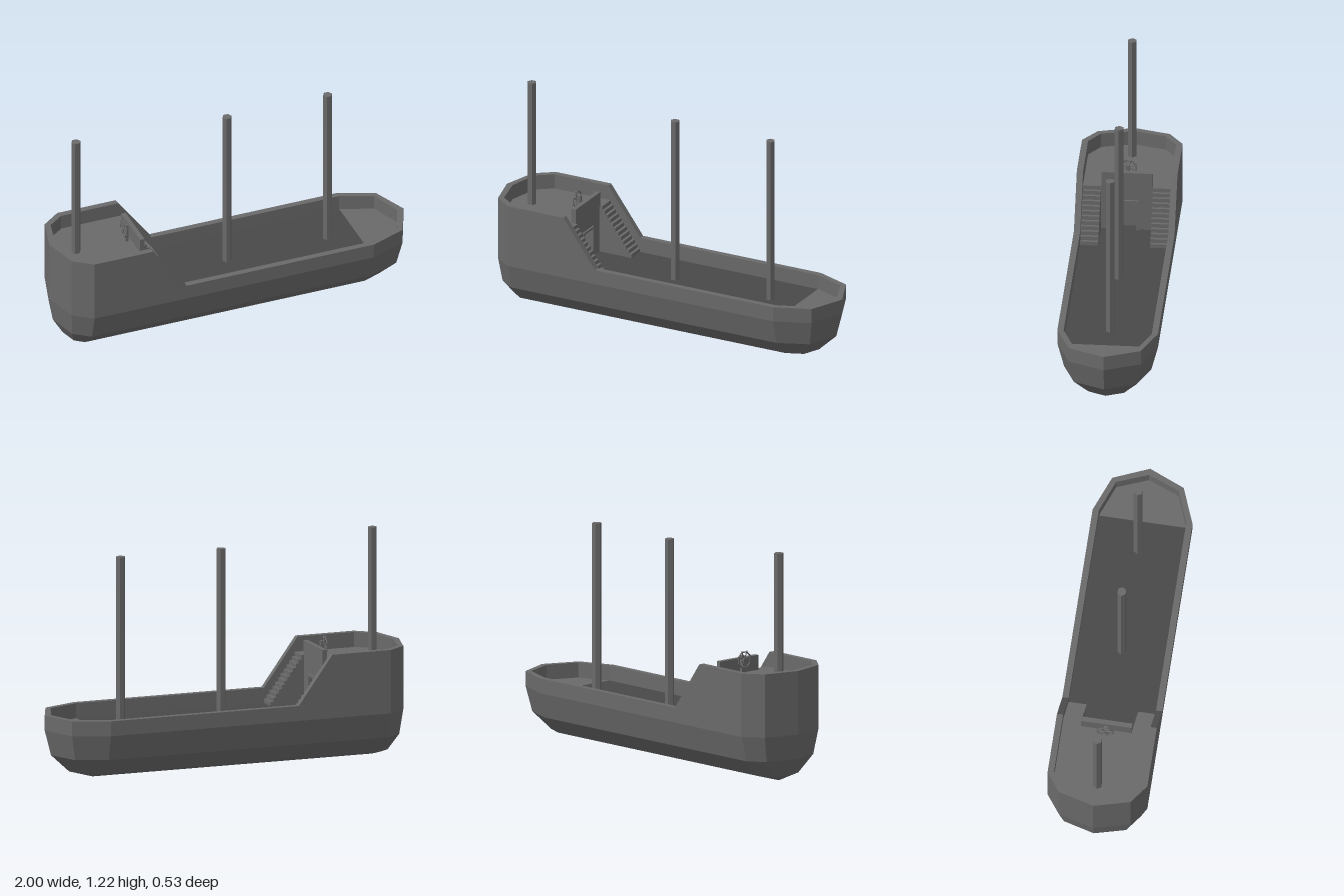
import * as THREE from 'three';

const MAIN_DECK = 0.27, AFT_DECK = 0.53, RAIL = 0.35, AFT_RAIL = 0.61;
const paint = (color) => new THREE.MeshStandardMaterial({ color, flatShading: true, side: THREE.DoubleSide });
const timber = paint(0x6a6a6a), darkTimber = paint(0x484848);

// Half plan outlines, stern to bow: [x, z]
const OUTER = [[-1, 0], [-0.95, 0.19], [-0.85, 0.265], [-0.52, 0.265], [-0.33, 0.265], [0.73, 0.265], [0.92, 0.19], [1, 0]];
const INNER = [[-0.965, 0], [-0.925, 0.17], [-0.84, 0.232], [-0.52, 0.232], [-0.33, 0.232], [0.73, 0.232], [0.9, 0.166], [0.965, 0]];

function closeLoop(half) {
  return [...half, ...half.slice(1, -1).reverse().map(([x, z]) => [x, -z])];
}

function add(parent, geometry, name, x = 0, y = 0, z = 0, material = timber) {
  const mesh = new THREE.Mesh(geometry, material);
  mesh.name = name;
  mesh.position.set(x, y, z);
  parent.add(mesh);
  return mesh;
}

function box(parent, name, x0, x1, y0, y1, z0, z1, material) {
  return add(parent, new THREE.BoxGeometry(x1 - x0, y1 - y0, z1 - z0), name, (x0 + x1) / 2, (y0 + y1) / 2, (z0 + z1) / 2, material);
}

// Joins successive closed loops of points with quads
function skin(rows) {
  const position = [];
  const n = rows[0].length;
  const triangle = (a, b, c) => {
    if (new THREE.Triangle(a, b, c).getArea() > 1e-7) for (const p of [a, b, c]) position.push(p.x, p.y, p.z);
  };
  for (let i = 0; i < rows.length - 1; i++) {
    for (let j = 0; j < n; j++) {
      const k = (j + 1) % n;
      triangle(rows[i][j], rows[i][k], rows[i + 1][k]);
      triangle(rows[i][j], rows[i + 1][k], rows[i + 1][j]);
    }
  }
  const geometry = new THREE.BufferGeometry();
  geometry.setAttribute('position', new THREE.Float32BufferAttribute(position, 3));
  geometry.computeVertexNormals();
  return geometry;
}

// Hull: the outline shrinks towards the keel, rises to the rail, then turns in and down to the deck
function hullGeometry() {
  const outer = closeLoop(OUTER), inner = closeLoop(INNER);
  const railHeight = (x) => (x < -0.5 ? AFT_RAIL : RAIL);
  const level = (y, s) => outer.map(([x, z]) => {
    const middle = THREE.MathUtils.clamp(x, -0.85, 0.73);
    return new THREE.Vector3(middle + (x - middle) * s, y, z * s);
  });
  const rim = (loop) => loop.map(([x, z]) => new THREE.Vector3(x, railHeight(x), z));
  return skin([
    level(0.003, 0), level(0.04, 0.49), level(0.135, 0.868), level(0.27, 1),
    rim(outer), rim(inner),
    inner.map(([x, z]) => new THREE.Vector3(x, MAIN_DECK, z)),
  ]);
}

// Solid with a plan outline, standing from y0 to y1
function planSolid(points, y0, y1) {
  const shape = new THREE.Shape(points.map(([x, z]) => new THREE.Vector2(x, -z)));
  const geometry = new THREE.ExtrudeGeometry(shape, { depth: y1 - y0, bevelEnabled: false });
  return geometry.rotateX(-Math.PI / 2).translate(0, y0, 0);
}

// Stern cabin: a doorway is notched into the lower half
function addCabin(parent) {
  const plan = closeLoop(INNER.slice(0, 4).concat([[-0.52, 0]]));
  const [left, right] = [plan.slice(0, 4), plan.slice(5)];
  const notch = [[-0.52, 0.05], [-0.56, 0.05], [-0.56, -0.05], [-0.52, -0.05]];
  const cabin = new THREE.Group();
  cabin.name = 'sternCabin';
  add(cabin, planSolid([...left, ...notch, ...right], MAIN_DECK, 0.435), 'cabinWalls');
  add(cabin, planSolid([...left, ...right], 0.435, AFT_DECK), 'aftDeck');
  for (const s of [-1, 1]) box(cabin, 'doorPost', -0.525, -0.51, MAIN_DECK, 0.445, s * 0.055 - 0.007, s * 0.055 + 0.007);
  box(cabin, 'doorLintel', -0.525, -0.51, 0.433, 0.445, -0.062, 0.062);
  box(cabin, 'parapet', -0.54, -0.515, AFT_DECK, AFT_RAIL, -0.135, 0.135);
  parent.add(cabin);
}

// Stairs: one stepped side profile extruded across the width
function stairGeometry(width, steps = 12) {
  const shape = new THREE.Shape();
  const run = 0.19 / steps, rise = (AFT_DECK - MAIN_DECK) / steps;
  shape.moveTo(-0.52, MAIN_DECK);
  shape.lineTo(-0.33, MAIN_DECK);
  for (let i = 0; i < steps; i++) {
    shape.lineTo(-0.33 - i * run, MAIN_DECK + (i + 1) * rise);
    shape.lineTo(-0.33 - (i + 1) * run, MAIN_DECK + (i + 1) * rise);
  }
  return new THREE.ExtrudeGeometry(shape, { depth: width, bevelEnabled: false });
}

// Steering wheel on a short post, facing along the ship
function addHelm(parent) {
  const helm = new THREE.Group();
  helm.name = 'helm';
  box(helm, 'helmPost', -0.572, -0.556, AFT_DECK, 0.63, -0.01, 0.01);
  const wheel = new THREE.Group();
  wheel.name = 'steeringWheel';
  wheel.position.set(-0.58, 0.608, 0);
  wheel.rotation.set(0, Math.PI / 2, 0);
  const rim = add(wheel, new THREE.TorusGeometry(0.044, 0.004, 5, 8), 'wheelRim');
  rim.rotation.z = Math.PI / 8;
  const hub = add(wheel, new THREE.CylinderGeometry(0.009, 0.009, 0.02, 8), 'wheelHub', 0, 0, 0.004);
  hub.rotation.x = Math.PI / 2;
  for (let i = 0; i < 4; i++) {
    const spoke = add(wheel, new THREE.CylinderGeometry(0.003, 0.003, 0.1, 5), 'wheelSpoke');
    spoke.rotation.z = ((i + 0.5) * Math.PI) / 4;
  }
  helm.add(wheel);
  parent.add(helm);
}

export function createModel() {
  const ship = new THREE.Group();
  ship.name = 'ship';
  add(ship, hullGeometry(), 'hull');

  // Decks: the dark main deck reaches into the cabin doorway
  box(ship, 'mainDeck', -0.56, 0.73, MAIN_DECK - 0.01, MAIN_DECK, -0.232, 0.232, darkTimber);
  add(ship, planSolid(closeLoop([[0.73, 0], ...INNER.slice(5)]), MAIN_DECK - 0.01, MAIN_DECK), 'foreDeck');

  addCabin(ship);
  for (const [name, z] of [['leftStairs', 0.137], ['rightStairs', -0.232]]) {
    add(ship, stairGeometry(0.095), name, 0, 0, z);
  }
  addHelm(ship);

  // Hexagonal masts: x, foot, top
  const masts = [['aftMast', -0.85, AFT_DECK, 1.22], ['mainMast', 0.004, MAIN_DECK, 1.17], ['foreMast', 0.572, MAIN_DECK, 1.17]];
  for (const [name, x, foot, top] of masts) {
    const mast = add(ship, new THREE.CylinderGeometry(0.025, 0.025, top - foot, 6), name, x, (foot + top) / 2, 0);
    mast.rotation.y = Math.PI / 2;
  }
  return ship;
}
